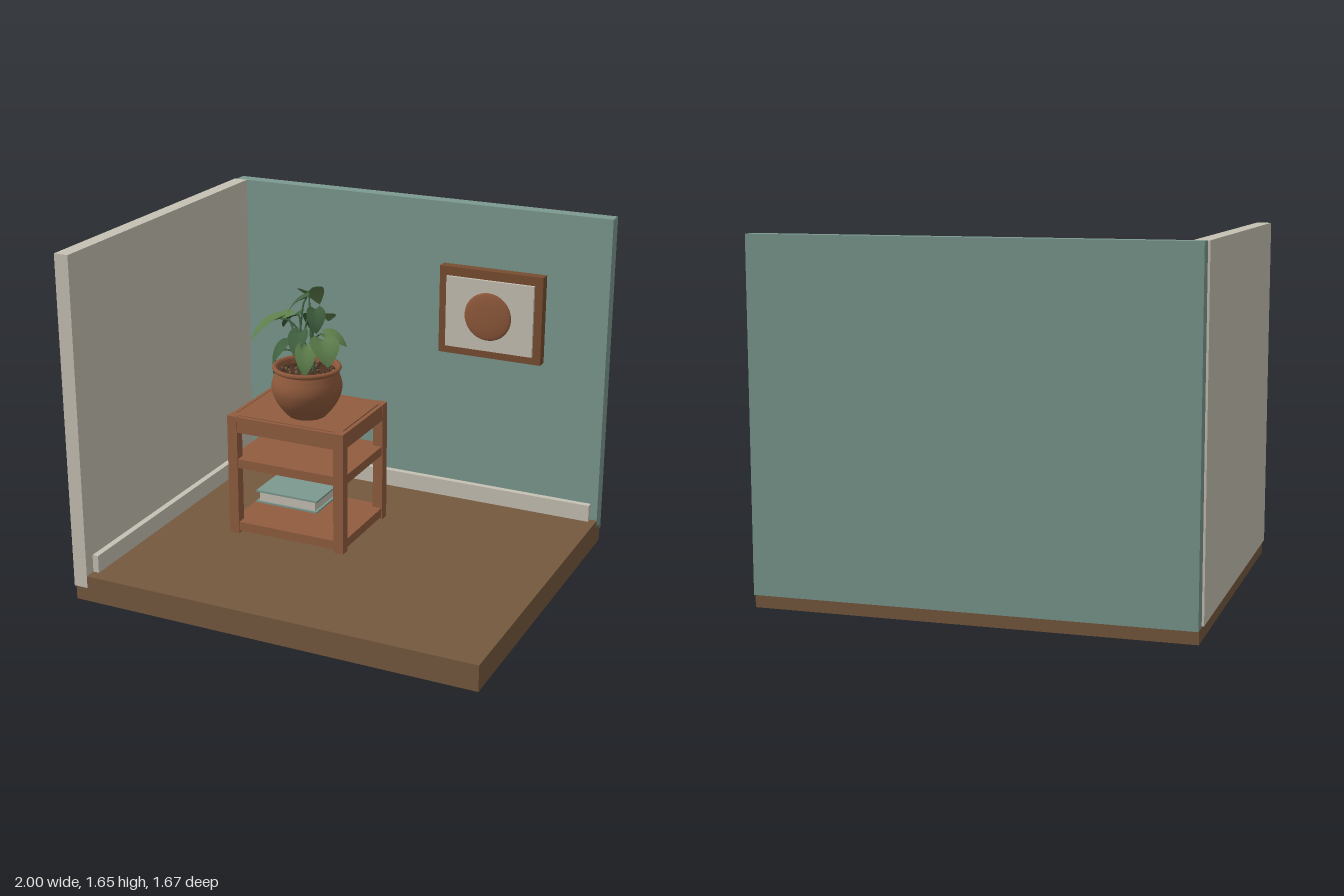
import * as THREE from 'three';

const paint = (name, color) => {
  const m = new THREE.MeshStandardMaterial({ color });
  m.name = name;
  return m;
};

export function createModel() {
  const floorWood = paint('floor brown', 0x76593f);
  const teal = paint('muted teal', 0x7b998f);
  const cream = paint('warm cream', 0xc6c1b4);
  const wood = paint('table wood', 0x915d3f);
  const frameWood = paint('frame wood', 0x774d30);
  const clay = paint('terracotta', 0x8e593b);
  const soilBrown = paint('soil brown', 0x4c3323);
  const leafLight = paint('leaf green', 0x5d7d4b);
  const leafDark = paint('deep leaf green', 0x3f5f3e);
  leafLight.side = leafDark.side = clay.side = THREE.DoubleSide;

  const room = new THREE.Group();
  room.name = 'roomCorner';
  const section = (name) => {
    const g = new THREE.Group();
    g.name = name;
    room.add(g);
    return g;
  };
  const add = (parent, name, geometry, material) => {
    const mesh = new THREE.Mesh(geometry, material);
    mesh.name = name;
    parent.add(mesh);
    return mesh;
  };
  // box given by its limits on each axis
  const box = (parent, name, mat, x0, x1, y0, y1, z0, z1) => {
    const mesh = add(parent, name, new THREE.BoxGeometry(x1 - x0, y1 - y0, z1 - z0), mat);
    mesh.position.set((x0 + x1) / 2, (y0 + y1) / 2, (z0 + z1) / 2);
    return mesh;
  };

  // floor, walls and skirting
  const shell = section('shell');
  box(shell, 'floor', floorWood, -0.99, 1, 0, 0.125, -0.82, 0.835);
  box(shell, 'backWall', teal, -0.99, 1, 0.06, 1.65, -0.835, -0.765);
  box(shell, 'sideWall', cream, -1, -0.93, 0.065, 1.65, -0.765, 0.835);
  box(shell, 'backSkirting', cream, -0.93, 0.965, 0.125, 0.21, -0.765, -0.735);
  box(shell, 'sideSkirting', cream, -0.93, -0.9, 0.125, 0.21, -0.735, 0.78);

  // framed picture with a domed disc
  const picture = section('picture');
  box(picture, 'frame', frameWood, 0.16, 0.69, 0.905, 1.345, -0.765, -0.713);
  box(picture, 'canvas', cream, 0.2, 0.65, 0.945, 1.3, -0.72, -0.698);
  const disc = add(picture, 'disc', new THREE.SphereGeometry(0.12, 40, 20), clay);
  disc.scale.z = 0.125;
  disc.position.set(0.425, 1.125, -0.683);

  // side table: four legs, rails and three boards
  const table = section('table');
  const X0 = -0.575, X1 = 0.035, Z0 = -0.375, Z1 = 0.122, LEG = 0.051;
  for (const x of [X0, X1 - LEG])
    for (const z of [Z0, Z1 - LEG])
      box(table, 'leg', wood, x, x + LEG, 0.125, 0.73, z, z + LEG);
  for (const z of [Z0 + 0.002, Z1 - 0.02])
    box(table, 'longRail', wood, X0 + LEG, X1 - LEG, 0.65, 0.728, z, z + 0.018);
  for (const x of [X0 + 0.002, X1 - 0.02])
    box(table, 'shortRail', wood, x, x + 0.018, 0.65, 0.728, Z0 + LEG, Z1 - LEG);
  box(table, 'topBoard', wood, X0 + 0.02, X1 - 0.02, 0.66, 0.724, Z0 + 0.02, Z1 - 0.02);
  box(table, 'topPanel', wood, X0 + 0.026, X1 - 0.026, 0.69, 0.73, Z0 + 0.026, Z1 - 0.026);
  for (const y of [0.14, 0.468]) {
    box(table, 'shelf', wood, X0 + LEG, X1 - LEG, y, y + 0.045, Z0 + 0.004, Z1 - 0.004);
    box(table, 'shelfEnds', wood, X0 + 0.004, X1 - 0.004, y, y + 0.045, Z0 + LEG, Z1 - LEG);
  }

  // book
  const book = section('book');
  box(book, 'pages', cream, -0.385, -0.092, 0.341, 0.386, -0.06, 0.16);
  box(book, 'lowerCover', teal, -0.4, -0.08, 0.333, 0.341, -0.063, 0.167);
  box(book, 'upperCover', teal, -0.4, -0.08, 0.386, 0.395, -0.063, 0.167);

  // pot
  const pot = section('pottedPlant');
  const CX = -0.24, CZ = -0.06;
  const belly = new THREE.SplineCurve([
    [0.09, 0.73], [0.115, 0.757], [0.148, 0.805], [0.166, 0.855], [0.166, 0.895], [0.153, 0.935], [0.146, 0.952],
  ].map(([r, y]) => new THREE.Vector2(r, y))).getPoints(24);
  const rim = [[0.16, 0.957], [0.165, 0.966], [0.161, 0.976], [0.148, 0.977], [0.14, 0.965], [0.138, 0.935]]
    .map(([r, y]) => new THREE.Vector2(r, y));
  const potBody = add(pot, 'pot',
    new THREE.LatheGeometry([new THREE.Vector2(0, 0.731), ...belly, ...rim], 40), clay);
  potBody.position.set(CX, 0, CZ);
  const soil = add(pot, 'soil', new THREE.CylinderGeometry(0.14, 0.14, 0.02, 32), soilBrown);
  soil.position.set(CX, 0.938, CZ);

  // soil crumbs
  let seed = 7;
  const rand = () => (seed = (seed * 16807) % 2147483647) / 2147483647;
  const crumb = new THREE.IcosahedronGeometry(1, 0);
  for (let i = 0; i < 90; i++) {
    const r = 0.128 * Math.sqrt(rand()), a = i * 2.4;
    const c = add(pot, 'soilCrumb', crumb, i % 3 ? soilBrown : floorWood);
    c.position.set(CX + r * Math.cos(a), 0.95, CZ + r * Math.sin(a));
    c.scale.setScalar(0.006 + 0.006 * rand());
    c.rotation.set(rand() * 3, rand() * 3, 0);
  }

  // heart-shaped leaf, arched along its length and folded at the midrib
  const leafGeometry = (base, tip, width) => {
    const dir = tip.clone().sub(base), length = dir.length();
    dir.normalize();
    const up = new THREE.Vector3(base.x - CX, 0, base.z - CZ).add(new THREE.Vector3(0, 0.22, 0.05));
    up.addScaledVector(dir, -up.dot(dir)).normalize();
    const side = new THREE.Vector3().crossVectors(up, dir);
    const N = 12, M = 6, pos = [], index = [];
    for (let i = 0; i <= N; i++) {
      const u = i / N;
      const half = 0.5 * width * Math.pow(Math.sin(Math.PI * Math.pow(0.03 + 0.97 * u, 0.58)), 0.8);
      for (let j = 0; j <= M; j++) {
        const s = (j / M) * 2 - 1;
        const lobe = -0.16 * length * Math.abs(s) * (1 - u) ** 3;
        const lift = length * 0.5 * u * (1 - u) + Math.abs(s) * half * 0.25 * (1 - u);
        const p = base.clone().addScaledVector(dir, u * length + lobe)
          .addScaledVector(side, s * (half || 0)).addScaledVector(up, lift || 0);
        pos.push(p.x, p.y, p.z);
        if (i < N && j < M) {
          const a = i * (M + 1) + j, b = a + M + 1;
          index.push(a, b, a + 1, b, b + 1, a + 1);
        }
      }
    }
    const g = new THREE.BufferGeometry();
    g.setAttribute('position', new THREE.Float32BufferAttribute(pos, 3));
    g.setIndex(index);
    g.computeVertexNormals();
    return g;
  };

  // leaf base, leaf tip, width, and whether it is the deep green
  const leaves = [
    [[-0.37, 1.19, -0.05], [-0.48, 1.09, 0.05], 0.15, 0],
    [[-0.37, 1.17, -0.12], [-0.5, 1.13, -0.21], 0.1, 0],
    [[-0.3, 1.29, -0.2], [-0.32, 1.18, -0.36], 0.12, 0],
    [[-0.2, 1.22, -0.1], [-0.22, 1.14, -0.25], 0.13, 0],
    [[-0.13, 1.13, 0], [-0.06, 1.03, 0.08], 0.14, 0],
    [[-0.39, 1.02, -0.1], [-0.43, 0.88, -0.09], 0.05, 1],
    [[-0.2, 1.1, 0.02], [-0.18, 0.97, 0.08], 0.1, 0],
    [[-0.16, 1.13, -0.08], [-0.05, 1.08, -0.1], 0.1, 0],
    [[-0.22, 1.04, -0.13], [-0.2, 0.94, -0.21], 0.09, 0],
    [[-0.26, 1.29, -0.1], [-0.35, 1.2, -0.07], 0.09, 1],
    [[-0.26, 1.18, -0.17], [-0.31, 1.06, -0.27], 0.1, 1],
    [[-0.25, 1.15, -0.02], [-0.24, 1.05, 0.06], 0.1, 1],
    [[-0.3, 1.2, -0.1], [-0.4, 1.12, -0.13], 0.1, 1],
    [[-0.31, 1.09, 0], [-0.37, 0.99, 0.04], 0.09, 1],
    [[-0.2, 1.25, -0.07], [-0.17, 1.15, -0.02], 0.09, 1],
  ];
  leaves.forEach(([b, t, width, deep], i) => {
    const base = new THREE.Vector3(...b), tip = new THREE.Vector3(...t);
    add(pot, 'leaf', leafGeometry(base, tip, width), deep ? leafDark : leafLight);
    // arching stem from the soil to the leaf
    const a = i * 2.4;
    const root = new THREE.Vector3(CX + 0.04 * Math.cos(a), 0.94, CZ + 0.04 * Math.sin(a));
    const bend = root.clone().lerp(base, 0.4).setY(base.y + 0.02);
    const stem = new THREE.QuadraticBezierCurve3(root, bend, base);
    add(pot, 'stem', new THREE.TubeGeometry(stem, 14, 0.0045, 6), leafDark);
  });

  return room;
}
